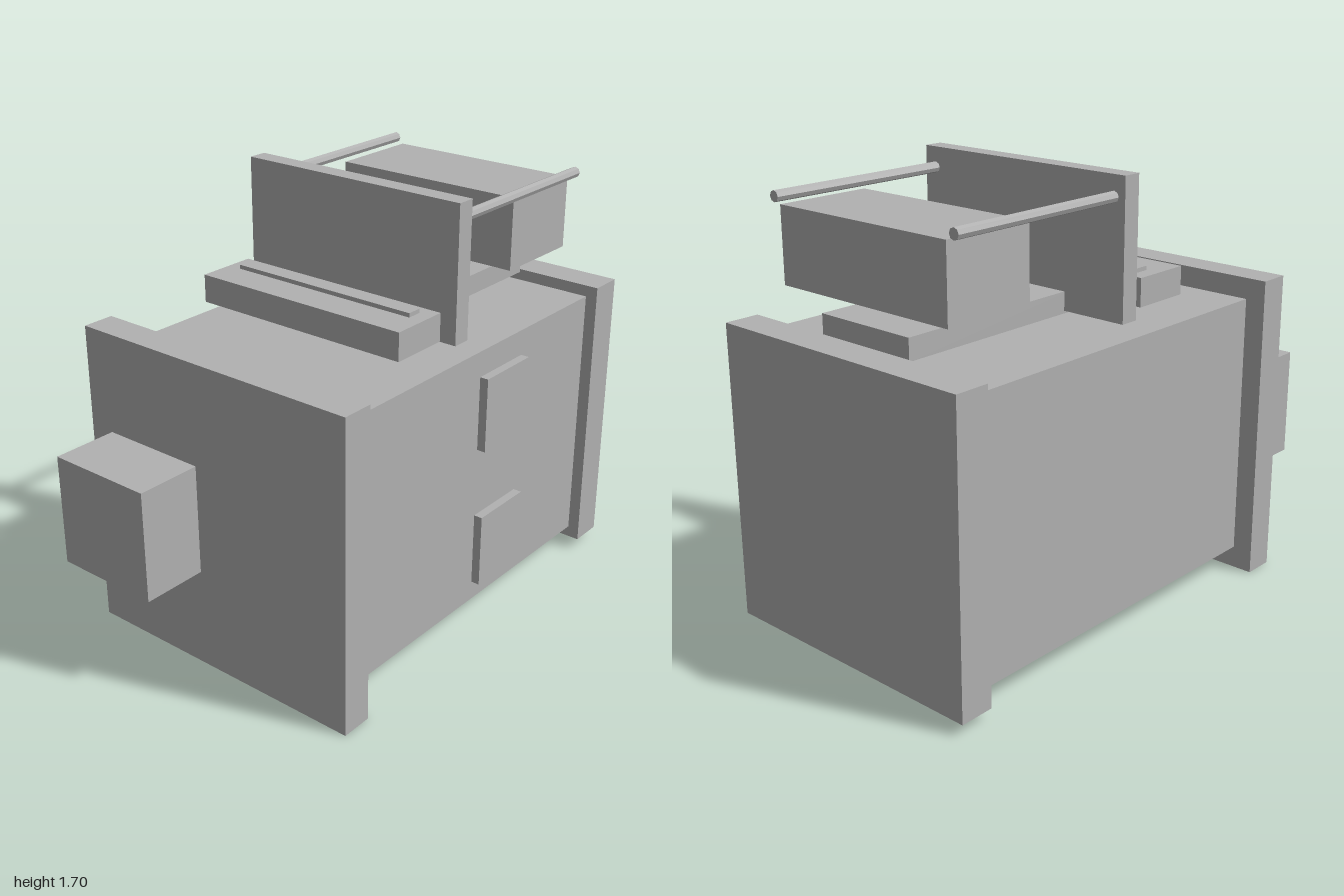
import * as THREE from 'three';

export function createModel() {
  const model = new THREE.Group();
  const grey = new THREE.MeshStandardMaterial({ color: 0xb2b2b2 });
  grey.name = 'plain grey';

  // Box given by its extents along each axis
  function box(name, [x0, x1], [y0, y1], [z0, z1]) {
    const mesh = new THREE.Mesh(new THREE.BoxGeometry(x1 - x0, y1 - y0, z1 - z0), grey);
    mesh.name = name;
    mesh.position.set((x0 + x1) / 2, (y0 + y1) / 2, (z0 + z1) / 2);
    model.add(mesh);
  }

  // Main housing with its end plates
  box('body', [-0.525, 0.52], [0.088, 1.135], [-0.863, 0.617]);
  box('frontPlate', [-0.607, 0.605], [0, 1.218], [0.617, 0.742]);
  box('backPlate', [-0.572, 0.568], [0.042, 1.18], [-1, -0.863]);
  box('frontBlock', [-0.503, -0.072], [0.395, 0.825], [0.742, 1]);

  // Side pads, standing just off the body
  box('upperSidePad', [0.532, 0.566], [0.75, 1.043], [-0.383, -0.113]);
  box('lowerSidePad', [0.532, 0.566], [0.18, 0.473], [-0.383, -0.113]);

  // Low block and strip on top
  box('topBlock', [-0.459, 0.456], [1.21, 1.318], [0.039, 0.277]);
  box('topStrip', [-0.402, 0.399], [1.318, 1.334], [0.086, 0.144]);

  // Raised assembly: panel, deck, pad below it and rear block
  box('uprightPanel', [-0.485, 0.482], [1.18, 1.703], [-0.094, -0.02]);
  box('deck', [-0.216, 0.212], [1.17, 1.252], [-0.857, -0.043]);
  box('deckPad', [-0.147, 0.145], [1.15, 1.17], [-0.383, -0.113]);
  box('rearBlock', [-0.402, 0.4], [1.318, 1.602], [-0.862, -0.484]);

  // Rods running back from the panel
  for (const [name, x] of [['leftRod', 0.432], ['rightRod', -0.436]]) {
    const geometry = new THREE.CylinderGeometry(0.021, 0.021, 0.768, 8).rotateX(Math.PI / 2).toNonIndexed();
    geometry.computeVertexNormals();
    const rod = new THREE.Mesh(geometry, grey);
    rod.name = name;
    rod.position.set(x, 1.625, -0.478);
    model.add(rod);
  }

  return model;
}
